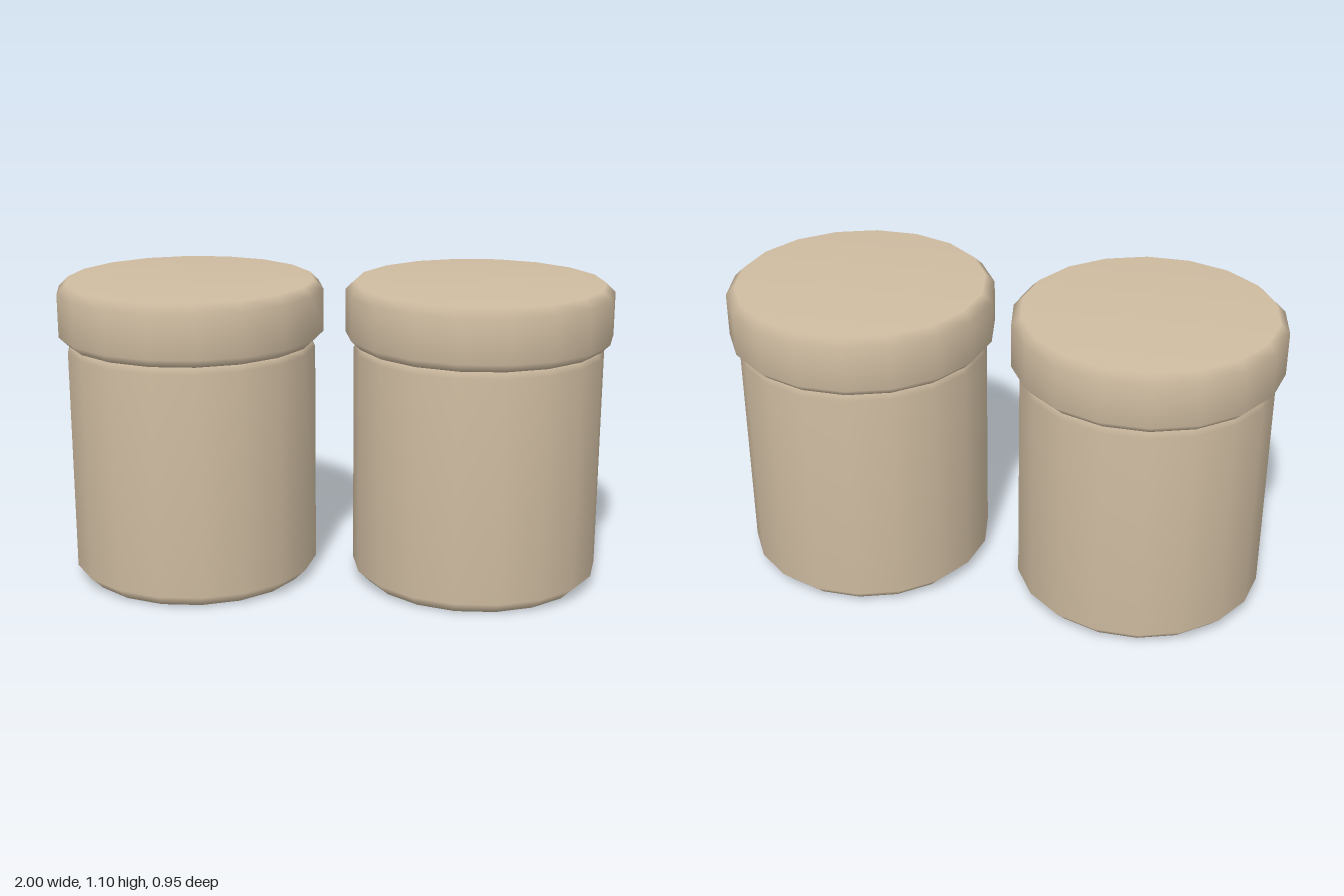
import * as THREE from 'three';

const SIDES = 18;

// Closed, smooth-shaded turned solid from [radius, height] pairs, bottom to top
function turned(name, profile, material) {
  const points = profile.map(([r, y]) => new THREE.Vector2(r, y));
  const mesh = new THREE.Mesh(new THREE.LatheGeometry(points, SIDES, Math.PI / 2), material);
  mesh.name = name;
  return mesh;
}

export function createModel() {
  const clay = new THREE.MeshStandardMaterial({ color: 0xcfbca1 });
  clay.name = 'beige clay';

  const model = new THREE.Group();
  model.name = 'jarPair';

  for (const [name, x] of [['leftJar', 0.52], ['rightJar', -0.52]]) {
    const jar = new THREE.Group();
    jar.name = name;
    jar.position.x = x;

    // Body with chamfered foot and shoulder
    jar.add(turned('body', [
      [0, 0], [0.405, 0], [0.45, 0.045], [0.45, 0.855], [0.425, 0.88], [0, 0.88],
    ], clay));

    // Wider lid with chamfered rims
    jar.add(turned('lid', [
      [0, 0.88], [0.447, 0.88], [0.48, 0.912], [0.48, 1.068], [0.447, 1.1], [0, 1.1],
    ], clay));

    model.add(jar);
  }
  return model;
}
